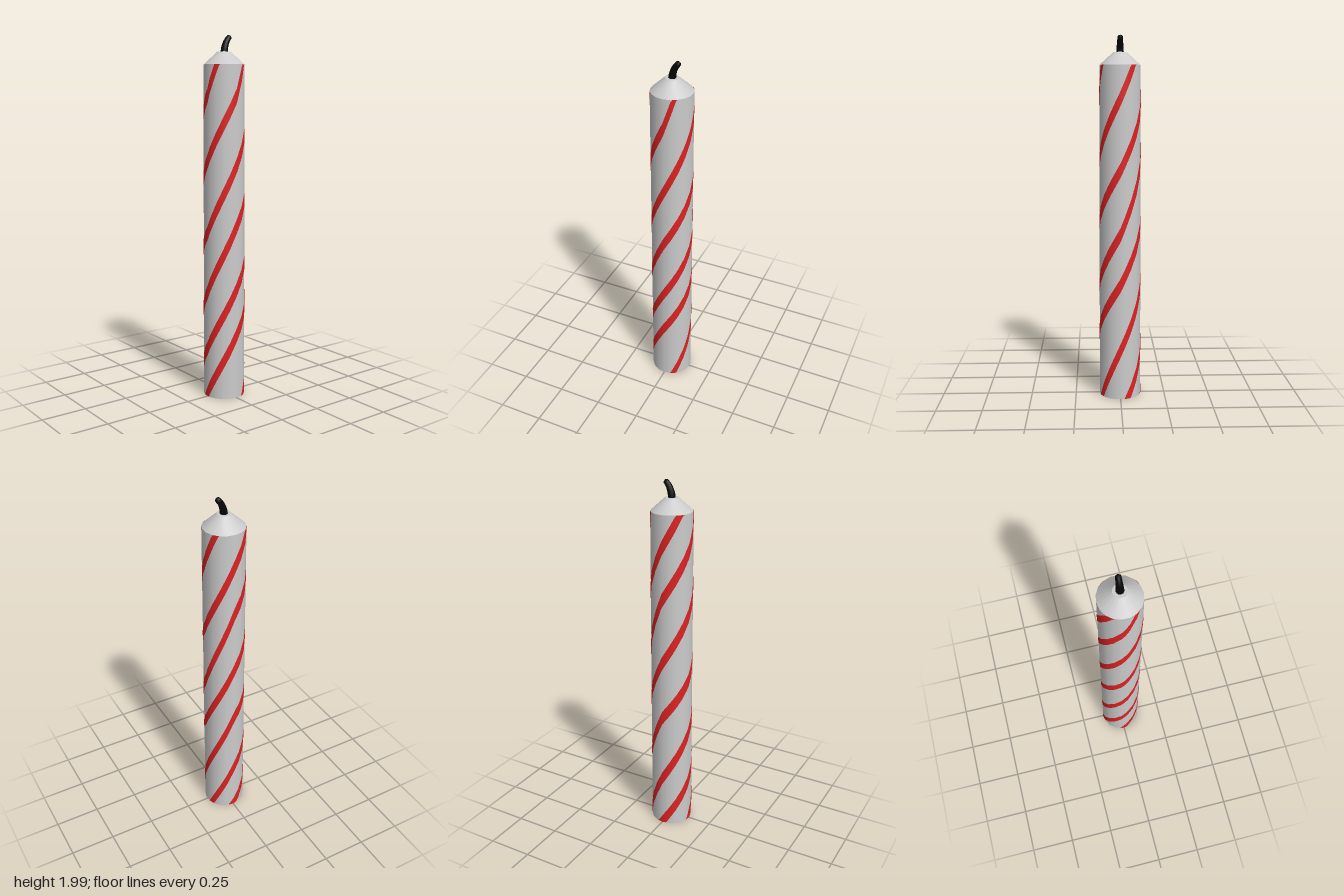
import * as THREE from 'three';

const SIDES = 18, R = 0.115, TOP = 1.835;
const rad = THREE.MathUtils.degToRad;

function mesh(name, geometry, color, side = THREE.FrontSide) {
  const m = new THREE.Mesh(geometry, new THREE.MeshStandardMaterial({ color, side }));
  m.name = name;
  return m;
}

// Body radius at a height (slight taper) and on the facet at an angle
const radiusAt = (y) => R - 0.004 * (y / TOP);
const facet = (deg) => Math.cos(rad(10)) / Math.cos(rad((((deg + 10) % 20) + 20) % 20 - 10));

// Height of a stripe at an angle, running on straight past its end keys
function heightAt(keys, a) {
  let i = 0;
  while (i < keys.length - 2 && a > keys[i + 1][0]) i++;
  const [a0, y0] = keys[i], [a1, y1] = keys[i + 1];
  return y0 + (y1 - y0) * (a - a0) / (a1 - a0);
}

// Winding ribbon laid on the facets of the body
function stripeGeometry(keys, height = 0.078) {
  const pos = [], nor = [], idx = [];
  const start = keys[0][0] - 30, end = keys[keys.length - 1][0] + 30;
  for (let a = start; a <= end; a += 5) {
    const s = Math.sin(rad(a)), c = Math.cos(rad(a)), mid = heightAt(keys, a);
    for (const k of [-0.5, 0.5]) {
      const y = THREE.MathUtils.clamp(mid + k * height, 0, TOP);
      const r = radiusAt(y) * facet(a) + 0.0012;
      pos.push(r * s, y, r * c);
      nor.push(s, 0, c);
    }
    const n = pos.length / 3;
    if (n > 2) idx.push(n - 4, n - 2, n - 3, n - 3, n - 2, n - 1);
  }
  const g = new THREE.BufferGeometry();
  g.setAttribute('position', new THREE.Float32BufferAttribute(pos, 3));
  g.setAttribute('normal', new THREE.Float32BufferAttribute(nor, 3));
  g.setIndex(idx);
  return g;
}

// Bent wick, thinner towards its closed tip
function wickGeometry() {
  const path = new THREE.CatmullRomCurve3([
    [1.89, 0], [1.925, -0.004], [1.96, -0.018], [1.989, -0.042],
  ].map(([y, z]) => new THREE.Vector3(0, y, z)));
  const rings = 12, sides = 12;
  const g = new THREE.TubeGeometry(path, rings, 0.021, sides);
  const p = g.attributes.position, v = new THREE.Vector3();
  for (let i = 0; i < p.count; i++) {
    const ring = Math.floor(i / (sides + 1));
    const shrink = ring === rings ? 1 : 0.36 * ring / rings;
    v.fromBufferAttribute(p, i).lerp(path.getPointAt(ring / rings), shrink);
    p.setXYZ(i, v.x, v.y, v.z);
  }
  g.computeVertexNormals();
  return g;
}

export function createModel() {
  const group = new THREE.Group();
  group.name = 'candle';

  // Wax body and sloped shoulder
  const body = mesh('body', new THREE.CylinderGeometry(radiusAt(TOP), R, TOP, SIDES, 1, true, rad(10)), 0xcccccc);
  body.position.y = TOP / 2;
  const shoulder = mesh('shoulder', new THREE.CylinderGeometry(0.036, radiusAt(TOP), 0.068, SIDES, 1, true, rad(10)), 0xcccccc);
  shoulder.position.y = TOP + 0.034;
  const tip = mesh('shoulderTop', new THREE.CircleGeometry(0.036, SIDES), 0xcccccc);
  tip.rotation.x = -Math.PI / 2;
  tip.position.y = TOP + 0.068;

  // Dark underside
  const base = mesh('base', new THREE.CircleGeometry(R, SIDES), 0x000000);
  base.rotation.x = Math.PI / 2;

  const wick = mesh('wick', wickGeometry(), 0x050505);
  group.add(body, shoulder, tip, base, wick);

  // Four stripes as [angle from the front in degrees, height]
  const stripes = [
    [[-5, 0], [0, 0.02], [90, 0.36], [180, 0.65], [270, 1.02], [360, 1.32], [450, 1.67], [471, 1.79]],
    [[-85, 0.02], [0, 0.28], [90, 0.62], [180, 0.93], [270, 1.38], [360, 1.67], [384, 1.79]],
    [[-160, 0], [-90, 0.3], [0, 0.6], [90, 0.97], [180, 1.28], [270, 1.66], [310, 1.8]],
    [[-238, 0.02], [-180, 0.28], [-90, 0.69], [0, 0.93], [90, 1.3], [180, 1.66], [211, 1.8]],
  ];
  stripes.forEach((keys, i) => group.add(mesh(`stripe${i + 1}`, stripeGeometry(keys), 0xdd2222, THREE.DoubleSide)));

  return group;
}
